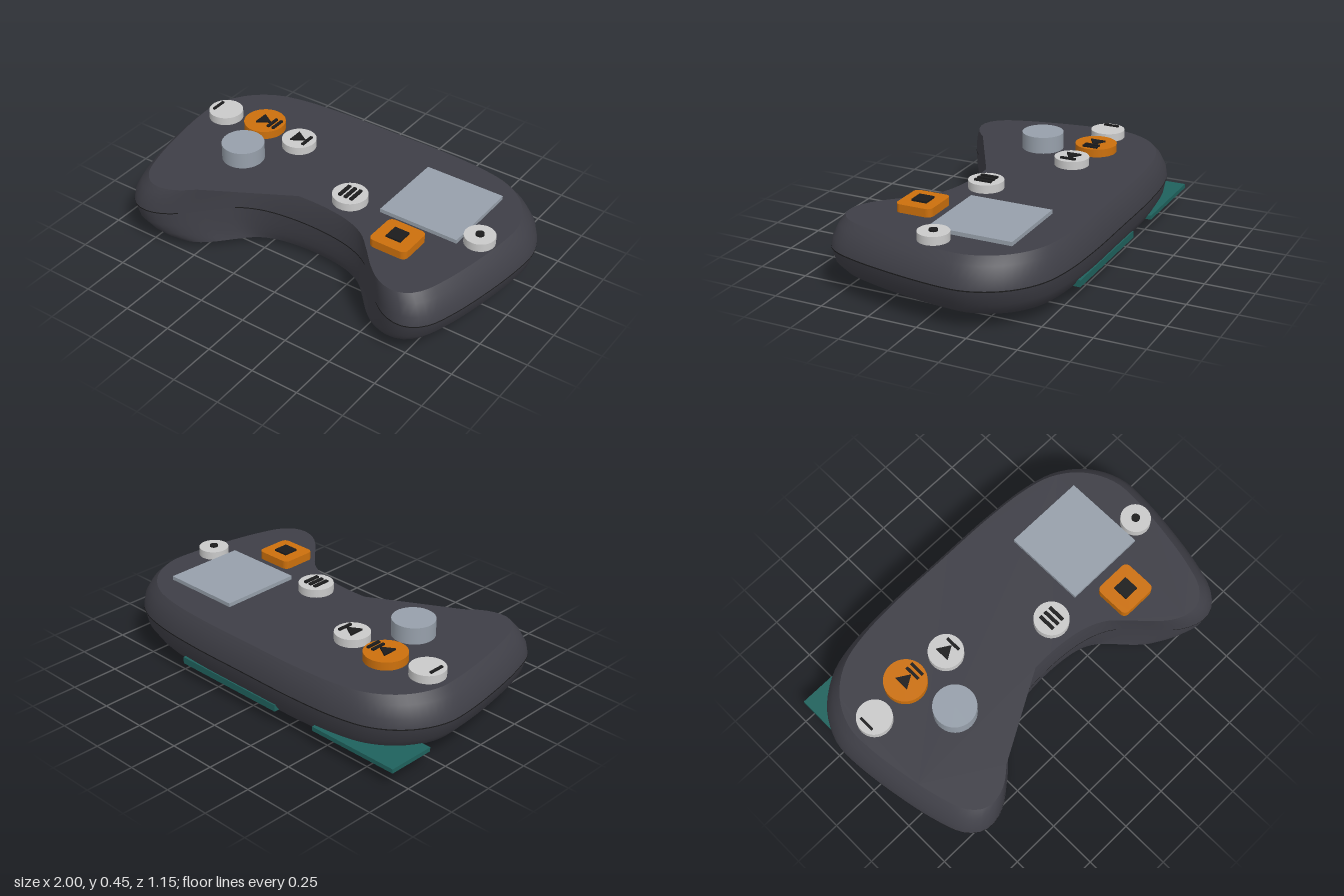
import * as THREE from 'three';

const mat = (name, color) => {
  const m = new THREE.MeshStandardMaterial({ color });
  m.name = name;
  return m;
};

export function createModel() {
  const group = new THREE.Group();
  const shell = mat('charcoal shell', 0x3f3f47);
  shell.side = THREE.DoubleSide;
  const black = mat('black', 0x1b1b1c);
  const light = mat('light grey', 0xcacaca);
  const orange = mat('orange', 0xcc700c);
  const steel = mat('steel grey', 0x97a0ab);
  const teal = mat('teal', 0x1f625d);

  const add = (name, geo, material, x = 0, y = 0, z = 0, parent = group) => {
    const m = new THREE.Mesh(geo, material);
    m.name = name;
    m.position.set(x, y, z);
    parent.add(m);
    return m;
  };

  // Plan outline: left half [x, z] from back to front, mirrored to the right
  const half = [[0.35, -0.576], [0.6, -0.556], [0.76, -0.515], [0.88, -0.435], [0.955, -0.335],
    [0.995, -0.22], [0.995, -0.09], [0.965, 0.14], [0.915, 0.37], [0.865, 0.5], [0.8, 0.56],
    [0.73, 0.572], [0.645, 0.545], [0.56, 0.48], [0.46, 0.375], [0.37, 0.29], [0.26, 0.24], [0.1, 0.213]];
  const loop = [[0, -0.578], ...half, ...half.slice().reverse().map(([x, z]) => [-x, z])];
  const curve = new THREE.CatmullRomCurve3(loop.map(([x, z]) => new THREE.Vector3(x, 0, z)), true);
  const ring = curve.getSpacedPoints(144).slice(0, 144);

  // Loft the outline through [height, scale] layers
  const loft = (layers) => {
    const pos = [], idx = [], n = ring.length;
    layers.forEach(([y, s]) => ring.forEach((p) => pos.push(p.x * s, y, p.z * s)));
    for (let l = 0; l < layers.length - 1; l++) {
      for (let i = 0; i < n; i++) {
        const a = l * n + i, b = l * n + (i + 1) % n;
        idx.push(a, a + n, b, b, a + n, b + n);
      }
    }
    const g = new THREE.BufferGeometry();
    g.setAttribute('position', new THREE.Float32BufferAttribute(pos, 3));
    g.setIndex(idx);
    g.computeVertexNormals();
    return g;
  };
  add('lowerShell', loft([[0.035, 0.825], [0.06, 0.88], [0.09, 0.925], [0.15, 0.98], [0.222, 1]]), shell);
  add('upperShell', loft([[0.222, 1], [0.27, 0.99], [0.325, 0.957], [0.36, 0.92]]), shell);
  add('seam', loft([[0.219, 1.001], [0.225, 1.001]]), black);

  // Flat faces; the top one bridges the inner curve of the right grip
  const cap = (points, s, sign) => new THREE.ShapeGeometry(
    new THREE.Shape(points.map((p) => new THREE.Vector2(p.x * s, -sign * p.z * s)))).rotateX(-sign * Math.PI / 2);
  const topRing = ring.filter((p) => !(p.z > 0 && p.x > -0.53 && p.x < -0.09));
  add('topFace', cap(topRing, 0.92, 1), shell, 0, 0.36, 0);
  add('bottomFace', cap(ring, 0.825, -1), shell, 0, 0.035, 0);

  // Round buttons and knob
  const disc = (name, material, x, z, r, y0, y1) =>
    add(name, new THREE.CylinderGeometry(r, r, y1 - y0, 40), material, x, (y0 + y1) / 2, z);
  disc('previousButton', light, -0.8, -0.16, 0.088, 0.35, 0.402);
  disc('playButton', orange, -0.57, -0.19, 0.107, 0.35, 0.402);
  disc('nextButton', light, -0.33, -0.16, 0.088, 0.35, 0.402);
  disc('menuButton', light, 0.15, 0.08, 0.088, 0.35, 0.402);
  disc('recordButton', light, 0.825, 0, 0.076, 0.35, 0.402);
  disc('knob', steel, -0.5, 0.08, 0.107, 0.35, 0.446);
  disc('bottomFoot', black, 0.528, -0.13, 0.184, 0, 0.05);

  // Rounded square button
  const r = 0.03, h = 0.102, w = h - r;
  const square = new THREE.Shape();
  [[w, w, 0], [-w, w, 1], [-w, -w, 2], [w, -w, 3]].forEach(([x, y, q]) =>
    square.absarc(x, y, r, q * Math.PI / 2, (q + 1) * Math.PI / 2, false));
  const squareGeo = new THREE.ExtrudeGeometry(square, { depth: 0.052, bevelEnabled: false, curveSegments: 6 });
  squareGeo.rotateX(-Math.PI / 2).scale(1, 1, 0.93);
  add('squareButton', squareGeo, orange, 0.517, 0.35, 0.225);

  // Display
  add('screen', new THREE.BoxGeometry(0.425, 0.03, 0.425), steel, 0.532, 0.365, -0.138);

  // Thin button symbols
  const markY = 0.4065, t = 0.009;
  const bar = (name, x, z, wide, deep) => add(name, new THREE.BoxGeometry(wide, t, deep), black, x, markY, z);
  const arrow = (name, x, z) => {
    const s = new THREE.Shape([[0, -0.04], [0.065, 0], [0, 0.04]].map(([a, b]) => new THREE.Vector2(a, b)));
    const g = new THREE.ExtrudeGeometry(s, { depth: t, bevelEnabled: false }).rotateX(-Math.PI / 2);
    add(name, g, black, x, markY - t / 2, z);
  };
  bar('previousBar', -0.85, -0.16, 0.012, 0.08);
  arrow('playArrow', -0.597, -0.19);
  [-0.522, -0.492].forEach((x) => bar('pauseBar', x, -0.19, 0.014, 0.08));
  arrow('nextArrow', -0.357, -0.16);
  bar('nextBar', -0.281, -0.16, 0.014, 0.08);
  [0.117, 0.15, 0.183].forEach((x) => bar('menuBar', x, 0.08, 0.017, 0.09));
  bar('stopMark', 0.517, 0.225, 0.08, 0.08);
  disc('recordDot', black, 0.825, 0, 0.021, markY - t / 2, markY + t / 2);

  // Teal inner board showing at the back edge and rear right corner
  add('cornerBoard', new THREE.BoxGeometry(0.5, 0.022, 0.25), teal, -0.7, 0.092, -0.426);
  add('backStrip', new THREE.BoxGeometry(0.65, 0.035, 0.06), teal, 0.12, 0.094, -0.523);

  return group;
}
